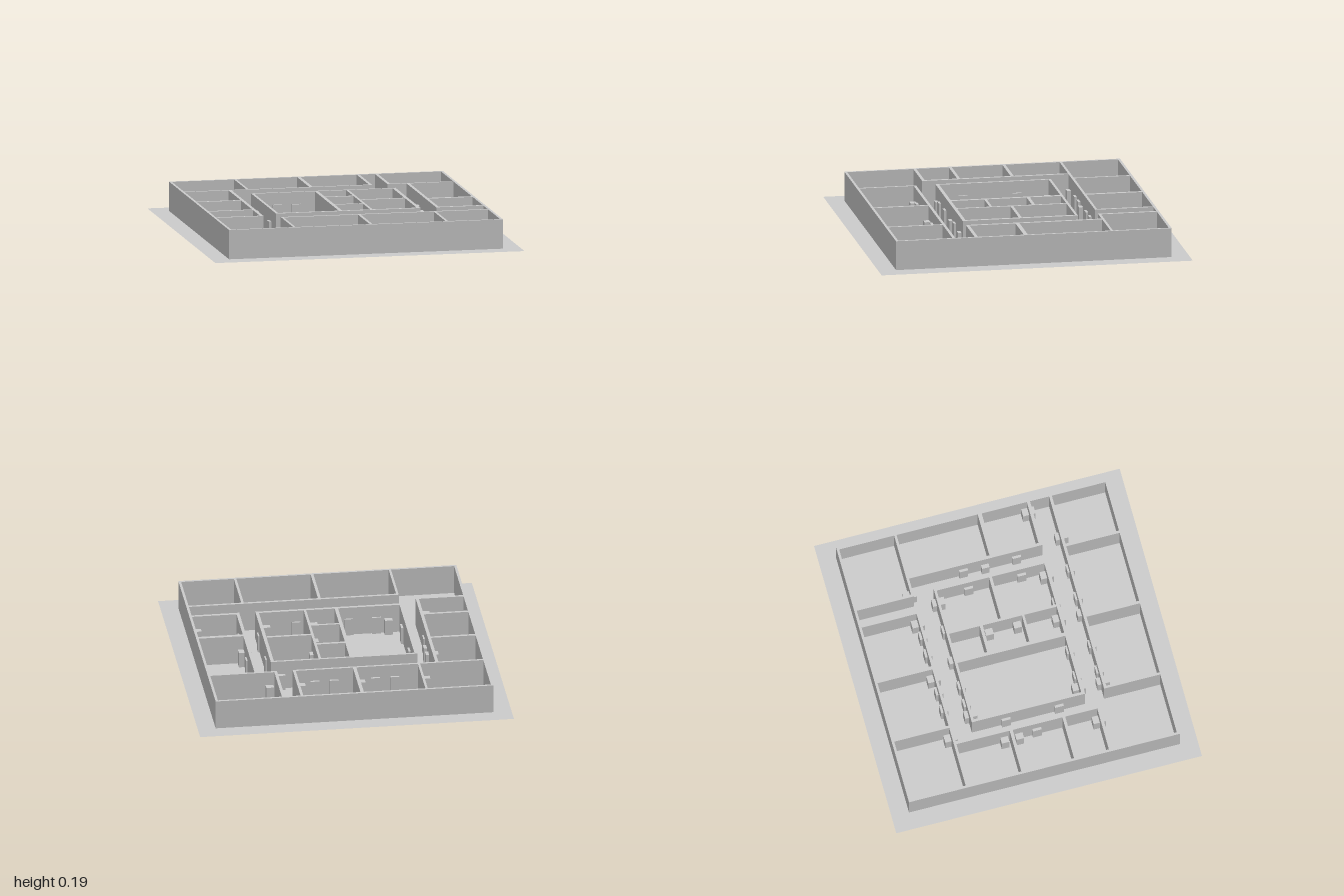
import * as THREE from 'three';

const FLOOR = 0.003, WALL_TOP = 0.191;
const material = new THREE.MeshStandardMaterial({ color: 0xcccccc, flatShading: true });

// Plan corners of a rectangle from (x0, z0) to (x1, z1)
const rect = (x0, z0, x1, z1) => [[x0, z0], [x0, z1], [x1, z1], [x1, z0]];
const toPoints = (corners) => corners.map(([x, z]) => new THREE.Vector2(x, -z));

// Walls: a plan outline with the rooms cut out, raised from the floor
function walls(name, outline, rooms) {
  const shape = new THREE.Shape(toPoints(outline));
  for (const room of rooms) shape.holes.push(new THREE.Path(toPoints(room)));
  const geometry = new THREE.ExtrudeGeometry(shape, { depth: WALL_TOP - FLOOR, bevelEnabled: false });
  geometry.rotateX(-Math.PI / 2).translate(0, FLOOR, 0);
  const mesh = new THREE.Mesh(geometry, material);
  mesh.name = name;
  return mesh;
}

// Equal blocks standing at a list of plan positions
function blocks(name, [w, h, d], bottom, places) {
  const group = new THREE.Group();
  group.name = name;
  const geometry = new THREE.BoxGeometry(w, h, d);
  for (const [x, z] of places) {
    const mesh = new THREE.Mesh(geometry, material);
    mesh.name = name;
    mesh.position.set(x, bottom + h / 2, z);
    group.add(mesh);
  }
  return group;
}

export function createModel() {
  const model = new THREE.Group();
  model.name = 'floorPlan';

  // Ground sheet
  const ground = new THREE.Mesh(
    new THREE.PlaneGeometry(2, 2).rotateX(-Math.PI / 2),
    new THREE.MeshStandardMaterial({ color: 0xcccccc, side: THREE.DoubleSide })
  );
  ground.name = 'ground';
  ground.position.y = FLOOR;
  model.add(ground);

  // Ring corridor with its side passages and the open front left room
  const corridor = [
    [-0.566, -0.495], [0.343, -0.495], [0.343, -0.87], [0.443, -0.87], [0.443, -0.495],
    [0.566, -0.495], [0.566, 0.378], [0.87, 0.378], [0.87, 0.503], [-0.468, 0.503],
    [-0.468, 0.87], [-0.87, 0.87], [-0.87, 0.445], [-0.566, 0.445],
  ];
  const backRooms = [[-0.87, -0.468], [-0.453, -0.061], [-0.039, 0.325], [0.462, 0.87]]
    .map(([a, b]) => rect(a, -0.87, b, -0.511));
  const frontRooms = [[-0.453, 0.027], [0.045, 0.518], [0.534, 0.87]]
    .map(([a, b]) => rect(a, 0.521, b, 0.87));
  const westRooms = [[-0.495, -0.147], [-0.127, 0.198], [0.217, 0.426]]
    .map(([a, b]) => rect(-0.87, a, -0.586, b));
  const eastRooms = [[-0.495, 0.036], [0.062, 0.357]]
    .map(([a, b]) => rect(0.586, a, 0.87, b));
  model.add(walls('outerWalls', rect(-0.886, -0.886, 0.886, 0.886),
    [corridor, ...backRooms, ...frontRooms, ...westRooms, ...eastRooms]));

  // Central block of rooms
  model.add(walls('centralWalls', rect(-0.47, -0.363, 0.464, 0.378), [
    rect(-0.453, -0.347, -0.061, 0.357),
    rect(-0.039, -0.347, 0.142, -0.147),
    rect(-0.039, -0.127, 0.142, 0.129),
    rect(-0.039, 0.145, 0.142, 0.357),
    rect(0.158, -0.347, 0.443, -0.005),
    rect(0.158, 0.014, 0.443, 0.357),
  ]));

  // Door blocks passing through the walls
  const row = (z, xs) => xs.map((x) => [x, z]);
  const column = (x, zs) => zs.map((z) => [x, z]);
  model.add(blocks('door', [0.05, 0.1, 0.082], FLOOR, [
    ...row(-0.511, [-0.503, -0.09, 0.292, 0.493]),
    ...row(-0.348, [-0.38, -0.002, 0.399]),
    ...row(0.359, [-0.38, 0.097, 0.399, 0.838]),
    ...row(0.518, [-0.38, 0.097, 0.628]),
    [-0.626, 0.426],
  ]));
  model.add(blocks('sideDoor', [0.082, 0.1, 0.05], FLOOR, [
    ...column(-0.586, [-0.184, -0.088]),
    ...column(0.14, [-0.091, 0.094]),
    [0.581, 0],
  ]));

  // Window blocks, reaching just below the ground sheet
  model.add(blocks('window', [0.057, 0.115, 0.047], 0, [
    ...row(-0.503, [-0.305, -0.182, 0.081, 0.204]),
    ...row(-0.354, [-0.305, -0.182, 0.206]),
    ...row(0.369, [-0.305, -0.128, 0.206]),
    ...row(0.514, [-0.305, -0.128, 0.206, 0.399]),
  ]));
  model.add(blocks('sideWindow', [0.047, 0.115, 0.057], 0, [
    ...column(-0.463, [-0.141, 0.206]),
    ...column(0.45, [-0.141, 0.206]),
    ...column(0.573, [-0.141, 0.206]),
    [-0.58, 0.03],
  ]));

  return model;
}
